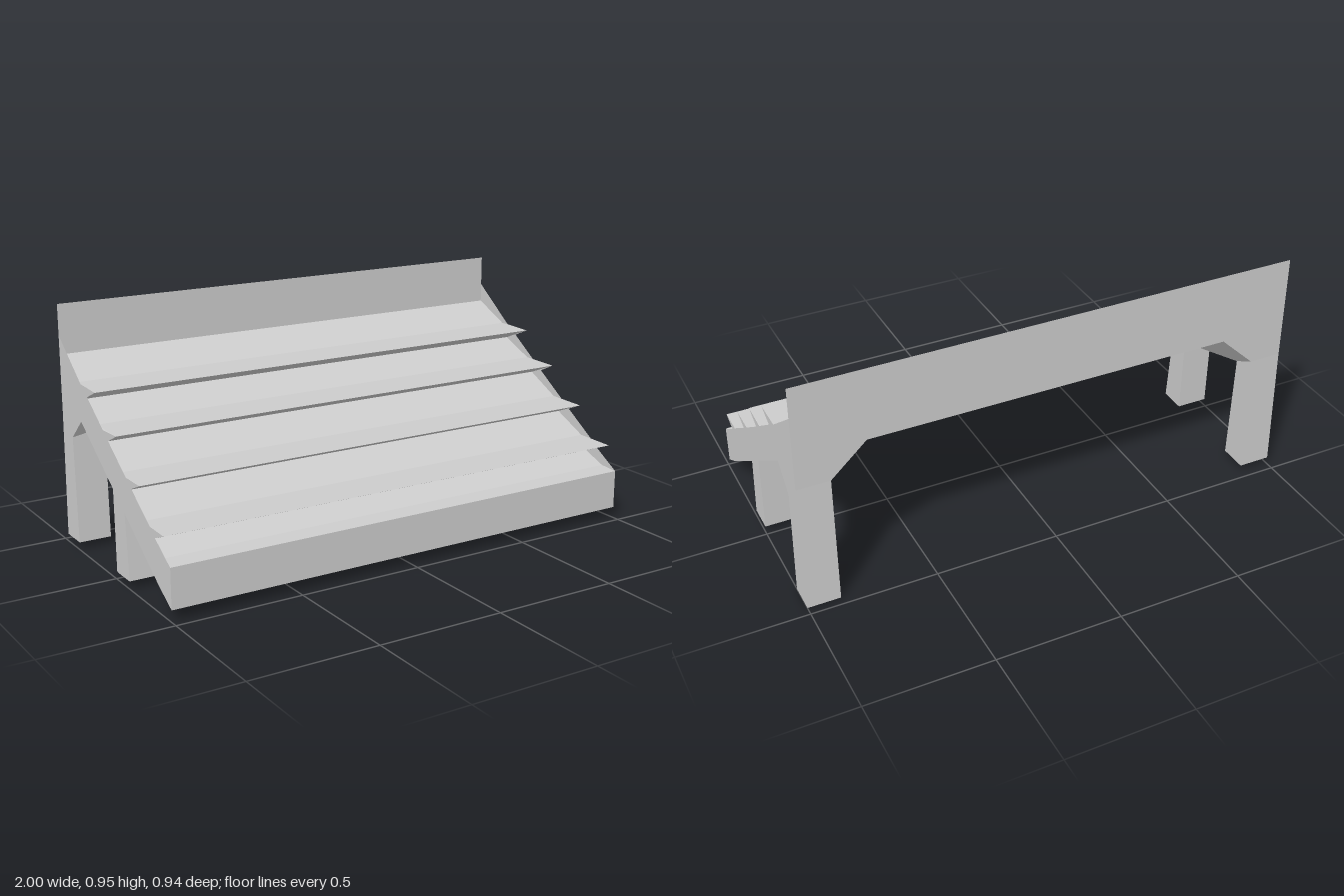
import * as THREE from 'three';

const material = new THREE.MeshStandardMaterial({ color: 0xcccccc, flatShading: true, side: THREE.DoubleSide });

function mesh(name, geometry) {
  const m = new THREE.Mesh(geometry, material);
  m.name = name;
  return m;
}

// Sheet spanning the full width, following a path of [z, y] points
function ribbon(name, path) {
  const pos = [];
  for (let i = 0; i < path.length - 1; i++) {
    const [z0, y0] = path[i], [z1, y1] = path[i + 1];
    pos.push(-1, y0, z0, 1, y0, z0, 1, y1, z1, -1, y0, z0, 1, y1, z1, -1, y1, z1);
  }
  const g = new THREE.BufferGeometry();
  g.setAttribute('position', new THREE.Float32BufferAttribute(pos, 3));
  g.computeVertexNormals();
  return mesh(name, g);
}

// Four-sided solid skinned over rings of [x, y, z] corners, closed at the foot
function loft(name, rings, side) {
  const pos = [], index = [];
  for (const ring of rings) for (const [x, y, z] of ring) pos.push(x * side, y, z);
  const quad = (a, b, c, d) => index.push(...(side > 0 ? [a, b, c, a, c, d] : [a, c, b, a, d, c]));
  for (let r = 0; r < rings.length - 1; r++) {
    for (let i = 0; i < 4; i++) {
      const a = r * 4 + i, b = r * 4 + (i + 1) % 4;
      quad(a, a + 4, b + 4, b);
    }
  }
  quad(0, 1, 2, 3);
  let g = new THREE.BufferGeometry();
  g.setAttribute('position', new THREE.Float32BufferAttribute(pos, 3));
  g.setIndex(index);
  g = g.toNonIndexed();
  g.computeVertexNormals();
  return mesh(name, g);
}

export function createModel() {
  const model = new THREE.Group();
  model.name = 'steppedCanopy';

  // Overhanging lips, from the lowest to the highest: [z, y]
  const lips = [[0.425, 0.298], [0.24, 0.425], [0.055, 0.558], [-0.125, 0.678]];
  const wallNotches = [[0.355, 0.27], [0.17, 0.395], [-0.02, 0.522], [-0.2, 0.645]];
  const wallTreads = [[0.315, 0.3], [0.125, 0.425], [-0.065, 0.553], [-0.258, 0.682]];
  const underside = [[0.47, 0.045], [0.375, 0.1], [-0.27, 0.535], [-0.455, 0.66]];

  // Roof steps, cut a little deeper than the side walls
  const roof = [[0.47, 0.2], [0.39, 0.205]];
  for (const [z, y] of lips) {
    roof.push([z - 0.135, y - 0.055], [z, y], [z - 0.17, y + 0.003]);
  }
  roof.push([-0.455, 0.755]);
  model.add(ribbon('roofSteps', roof));
  model.add(ribbon('frontFascia', [underside[0], [0.47, 0.2]]));
  model.add(ribbon('underside', underside));
  model.add(ribbon('backPanel', [[-0.455, 0.66], [-0.455, 0.95]]));

  // Saw-toothed side walls
  const outline = [[0.47, 0.2]];
  lips.forEach((lip, i) => outline.push(wallNotches[i], lip, wallTreads[i]));
  outline.push([-0.455, 0.83], ...underside.slice().reverse());
  const wallShape = new THREE.Shape(outline.map(([z, y]) => new THREE.Vector2(-z, y)));

  for (const side of [1, -1]) {
    const label = side > 0 ? 'left' : 'right';
    const wall = mesh(label + 'SideWall', new THREE.ShapeGeometry(wallShape));
    wall.rotation.y = Math.PI / 2;
    wall.position.x = side;
    model.add(wall);

    // Front leg, its top cut to the slope of the underside
    model.add(loft(label + 'FrontLeg', [
      [[0.87, 0.03, 0.12], [0.87, 0.03, 0.01], [1, 0.03, 0.01], [1, 0.03, 0.12]],
      [[0.87, 0.287, 0.1], [0.87, 0.35, 0.005], [1, 0.35, 0.005], [1, 0.287, 0.1]],
    ], side));

    // Rear leg, flaring into a bracket below the roof
    const foot = side > 0 ? 0 : 0.03;
    model.add(loft(label + 'RearLeg', [
      [[0.87, foot, -0.35], [0.87, foot, -0.465], [1, foot, -0.465], [1, foot, -0.35]],
      [[0.87, 0.48, -0.365], [0.87, 0.53, -0.455], [1, 0.53, -0.455], [1, 0.45, -0.365]],
      [[0.73, 0.535, -0.27], [0.73, 0.66, -0.455], [1, 0.66, -0.455], [1, 0.535, -0.27]],
    ], side));
  }
  return model;
}
